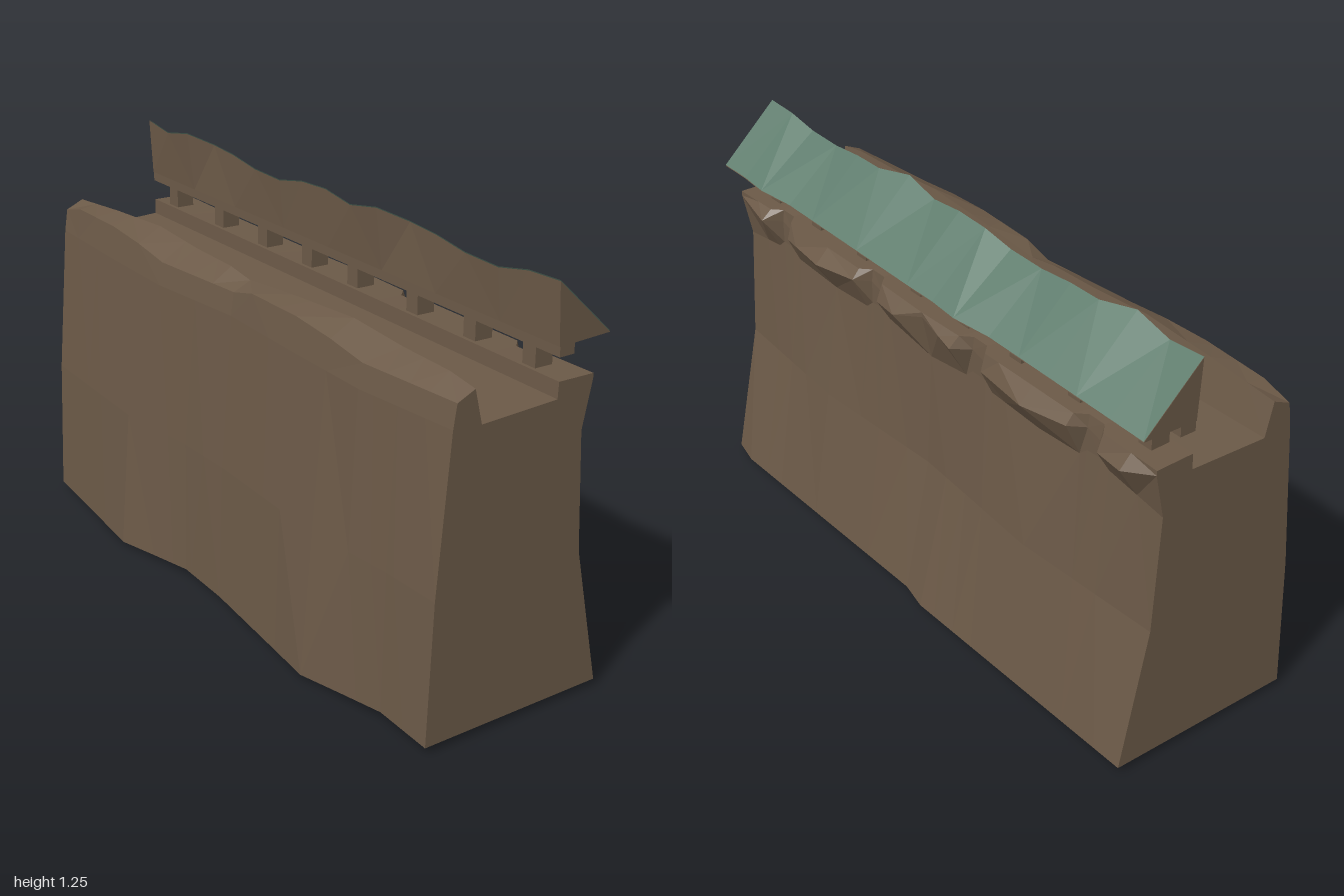
import * as THREE from 'three';

const brown = new THREE.MeshStandardMaterial({ color: 0x6b5947, flatShading: true, side: THREE.DoubleSide });
brown.name = 'brown stone and timber';
const green = new THREE.MeshStandardMaterial({ color: 0x607d6e, flatShading: true, side: THREE.DoubleSide });
green.name = 'green roofing';

// Value that repeats every unit along x, interpolated between [phase, value] keys
function track(...keys) {
  const all = [...keys, [keys[0][0] + 1, keys[0][1]]];
  return (x) => {
    const p = x + 1 - Math.floor(x + 1 + 1e-6);
    let i = 0;
    while (i < all.length - 2 && p > all[i + 1][0]) i++;
    const [a, u] = all[i], [b, v] = all[i + 1];
    return u + (v - u) * (p - a) / (b - a);
  };
}

// Stations over two repeats of the pattern
function stations(phases) {
  return [...phases.map((p) => p - 1), ...phases, 1];
}

// Skin through [z, y] sections placed along x, with optional end caps
function loft(xs, section, { caps = false, closed = false } = {}) {
  const rows = xs.map((x) => section(x).map(([z, y]) => [x, y, z]));
  const pos = [];
  const tri = (...pts) => pts.forEach((p) => pos.push(...p));
  const n = rows[0].length;
  for (let i = 0; i < rows.length - 1; i++) {
    for (let j = 0; j < (closed ? n : n - 1); j++) {
      const k = (j + 1) % n;
      const a = rows[i][j], b = rows[i][k], c = rows[i + 1][k], d = rows[i + 1][j];
      if ((i + j) % 2) { tri(a, d, c); tri(a, c, b); }
      else { tri(a, d, b); tri(d, c, b); }
    }
  }
  if (caps) {
    for (const [row, sign] of [[rows[0], -1], [rows[rows.length - 1], 1]]) {
      const flat = row.map(([, y, z]) => new THREE.Vector2(-z, y));
      for (const [a, b, c] of THREE.ShapeUtils.triangulateShape(flat, [])) {
        const area = THREE.ShapeUtils.area([flat[a], flat[b], flat[c]]);
        if (area * sign > 0) tri(row[a], row[b], row[c]);
        else tri(row[a], row[c], row[b]);
      }
    }
  }
  const g = new THREE.BufferGeometry();
  g.setAttribute('position', new THREE.Float32BufferAttribute(pos, 3));
  g.computeVertexNormals();
  return g;
}

function add(group, name, geometry, material) {
  const m = new THREE.Mesh(geometry, material);
  m.name = name;
  group.add(m);
  return m;
}

export function createModel() {
  const group = new THREE.Group();
  group.name = 'coveredWall';

  // Rough wall body: battered faces, front parapet, sunken walkway, back ledge
  const footZ = track([0, 0.285], [0.32, 0.305], [0.5, 0.335], [0.8, 0.28]);
  const footY = track([0, 0.02], [0.32, 0], [0.55, 0.015], [0.8, 0.025]);
  const midZ = track([0, 0.268], [0.5, 0.297], [0.8, 0.27]);
  const upperZ = track([0, 0.228], [0.3, 0.245], [0.65, 0.258]);
  const lipZ = track([0, 0.217], [0.33, 0.23], [0.65, 0.245]);
  const lipY = track([0, 0.99], [0.1, 1.015], [0.4, 1.02], [0.65, 0.99]);
  const crestY = track([0, 1.015], [0.24, 1.035], [0.5, 1.05], [0.71, 1.035], [0.9, 1.03]);
  const innerZ = track([0, 0.135], [0.5, 0.125]);
  const ledgeZ = track([0, -0.24], [0.21, -0.235], [0.24, -0.205], [0.3, -0.205], [0.33, -0.235],
    [0.71, -0.235], [0.74, -0.205], [0.8, -0.205], [0.83, -0.235]);
  const tipZ = track([0, -0.24], [0.1, -0.275], [0.21, -0.255], [0.24, -0.21], [0.3, -0.21], [0.33, -0.26],
    [0.5, -0.28], [0.71, -0.25], [0.74, -0.21], [0.8, -0.21], [0.83, -0.27]);
  const tipY = track([0, 0.95], [0.1, 0.925], [0.24, 0.91], [0.33, 0.935], [0.5, 0.92], [0.74, 0.91], [0.83, 0.935]);
  const underY = track([0, 0.81], [0.21, 0.84], [0.27, 0.88], [0.33, 0.83], [0.5, 0.82], [0.71, 0.83], [0.77, 0.88], [0.83, 0.83]);
  const backMidZ = track([0, -0.23], [0.5, -0.26]);
  const backFootZ = track([0, -0.32], [0.9, -0.34]);

  const wallXs = stations([0, 0.1, 0.21, 0.24, 0.3, 0.33, 0.5, 0.65, 0.71, 0.74, 0.8, 0.83, 0.9]);
  add(group, 'wallBody', loft(wallXs, (x) => [
    [footZ(x), footY(x)], [midZ(x), 0.45], [upperZ(x), 0.92],
    [lipZ(x), lipY(x)], [0.16, crestY(x)], [innerZ(x), 0.913],
    [-0.118, 0.92], [-0.12, 0.968], [ledgeZ(x), 0.965], [tipZ(x), tipY(x)],
    [-0.21, underY(x)], [backMidZ(x), 0.45], [backFootZ(x), 0.02],
  ], { caps: true }), brown);

  // Short posts carrying the roof
  for (const base of [-1, 0]) {
    for (const p of [0.1, 0.38, 0.63, 0.87]) {
      const post = add(group, 'post', new THREE.BoxGeometry(0.05, 0.11, 0.06), brown);
      post.position.set(base + p, 1.015, -0.162);
    }
  }

  // Beam under the roof
  const beam = add(group, 'beam', new THREE.BoxGeometry(2, 0.034, 0.05), brown);
  beam.position.set(0, 1.052, -0.142);

  // Wavy lean-to roof: timber front, underside and ends, with a green slope
  const ridgeY = track([0, 1.245], [0.13, 1.23], [0.26, 1.255], [0.38, 1.24], [0.5, 1.235],
    [0.63, 1.22], [0.75, 1.215], [0.88, 1.24]);
  const ridgeZ = track([0, -0.105], [0.26, -0.092], [0.38, -0.118], [0.75, -0.1], [0.88, -0.105]);
  const eaveZ = track([0, -0.29], [0.63, -0.283], [0.77, -0.298], [0.9, -0.288]);
  const roofXs = stations([0, 0.13, 0.26, 0.38, 0.5, 0.63, 0.77, 0.88]);
  add(group, 'roofTimber', loft(roofXs, (x) => [
    [eaveZ(x), 1.068], [-0.115, 1.064], [ridgeZ(x), ridgeY(x) - 0.003],
  ], { caps: true }), brown);
  add(group, 'roofSlope', loft(roofXs, (x) => [
    [ridgeZ(x), ridgeY(x)], [eaveZ(x), 1.071],
  ]), green);

  return group;
}
